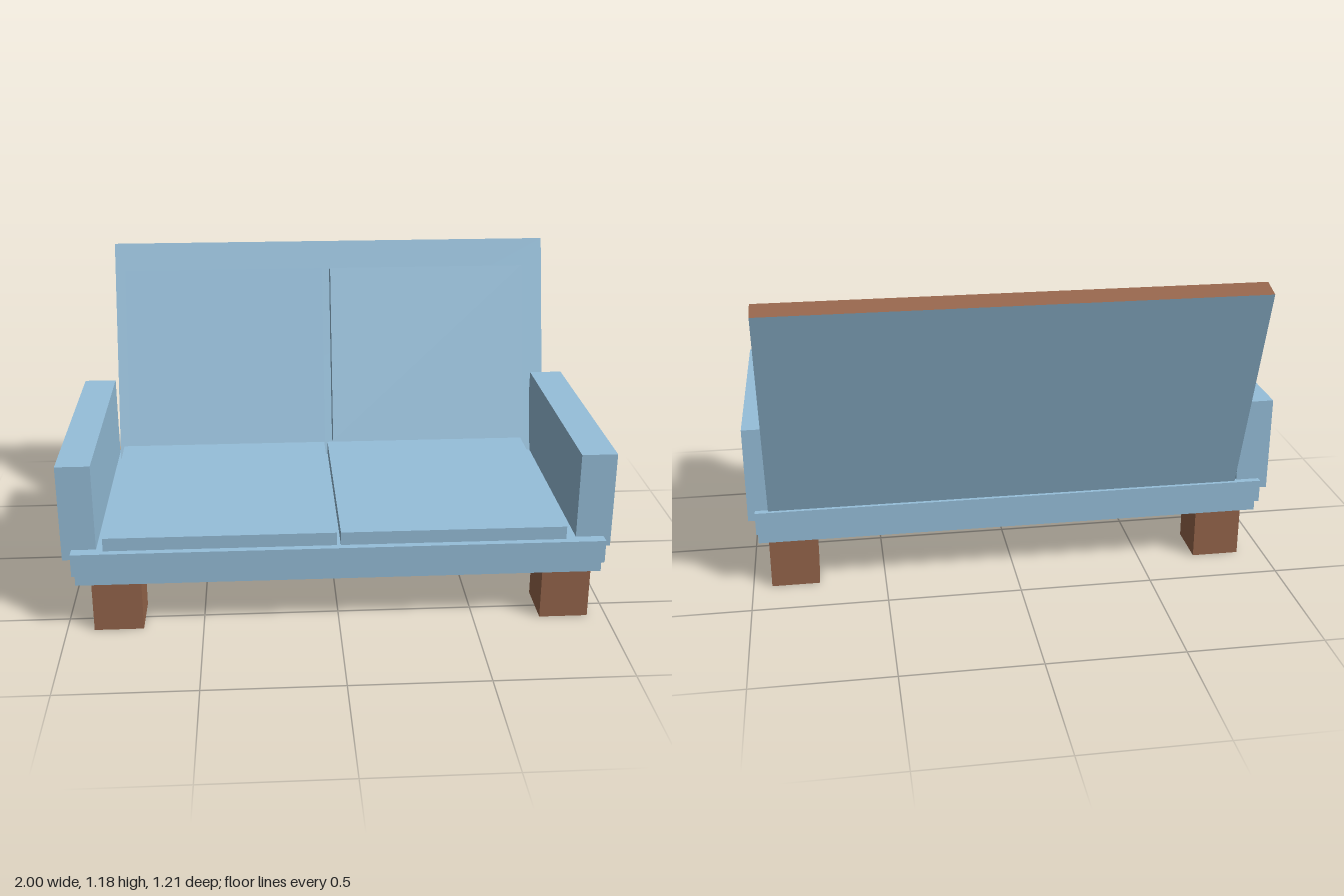
import * as THREE from 'three';

const fabric = new THREE.MeshStandardMaterial({ color: 0x96bfda });
const wood = new THREE.MeshStandardMaterial({ color: 0x95654b });

// Box given by its limits on each axis: [min, max]
function slab(name, [x0, x1], [y0, y1], [z0, z1], material) {
  const mesh = new THREE.Mesh(new THREE.BoxGeometry(x1 - x0, y1 - y0, z1 - z0), material);
  mesh.position.set((x0 + x1) / 2, (y0 + y1) / 2, (z0 + z1) / 2);
  mesh.name = name;
  return mesh;
}

// Board leaning backwards, placed by its top front edge (y, z)
const LEAN = 0.306;
function leaning(name, [x0, x1], topY, topZ, length, thickness, material) {
  const geometry = new THREE.BoxGeometry(x1 - x0, length, thickness);
  geometry.translate((x0 + x1) / 2, -length / 2, -thickness / 2);
  const mesh = new THREE.Mesh(geometry, material);
  mesh.position.set(0, topY, topZ);
  mesh.rotation.x = -LEAN;
  mesh.name = name;
  return mesh;
}

export function createModel() {
  const sofa = new THREE.Group();
  sofa.name = 'sofa';

  // Block legs
  for (const [side, x] of [['Right', [-0.9, -0.72]], ['Left', [0.75, 0.93]]]) {
    sofa.add(slab('front' + side + 'Leg', x, [0, 0.186], [0.402, 0.585], wood));
    sofa.add(slab('back' + side + 'Leg', x, [0, 0.186], [-0.332, -0.15], wood));
  }

  // Stepped base
  sofa.add(slab('lowerBase', [-0.957, 0.968], [0.186, 0.234], [-0.332, 0.585], fabric));
  sofa.add(slab('upperBase', [-0.965, 0.973], [0.234, 0.321], [-0.356, 0.608], fabric));

  // Armrests: wooden outer face, fabric elsewhere (face order +x -x +y -y +z -z)
  const leftFaces = [wood, fabric, fabric, fabric, fabric, fabric];
  const rightFaces = [fabric, wood, fabric, fabric, fabric, fabric];
  sofa.add(slab('rightArmrest', [-1, -0.876], [0.281, 0.646], [-0.332, 0.567], rightFaces));
  sofa.add(slab('leftArmrest', [0.87, 1], [0.281, 0.646], [-0.332, 0.567], leftFaces));

  // Seat cushions
  sofa.add(slab('rightSeatCushion', [-0.85, -0.009], [0.321, 0.371], [-0.28, 0.583], fabric));
  sofa.add(slab('leftSeatCushion', [0.005, 0.831], [0.321, 0.371], [-0.28, 0.583], fabric));

  // Backrest: fabric front and back, wooden edges
  const backFaces = [wood, wood, wood, wood, fabric, fabric];
  sofa.add(leaning('backrest', [-0.866, 0.925], 1.178, -0.529, 0.93, 0.08, backFaces));

  // Back cushions
  sofa.add(leaning('rightBackCushion', [-0.817, -0.01], 1.092, -0.41, 0.718, 0.082, fabric));
  sofa.add(leaning('leftBackCushion', [0.024, 0.823], 1.092, -0.41, 0.718, 0.082, fabric));

  return sofa;
}
